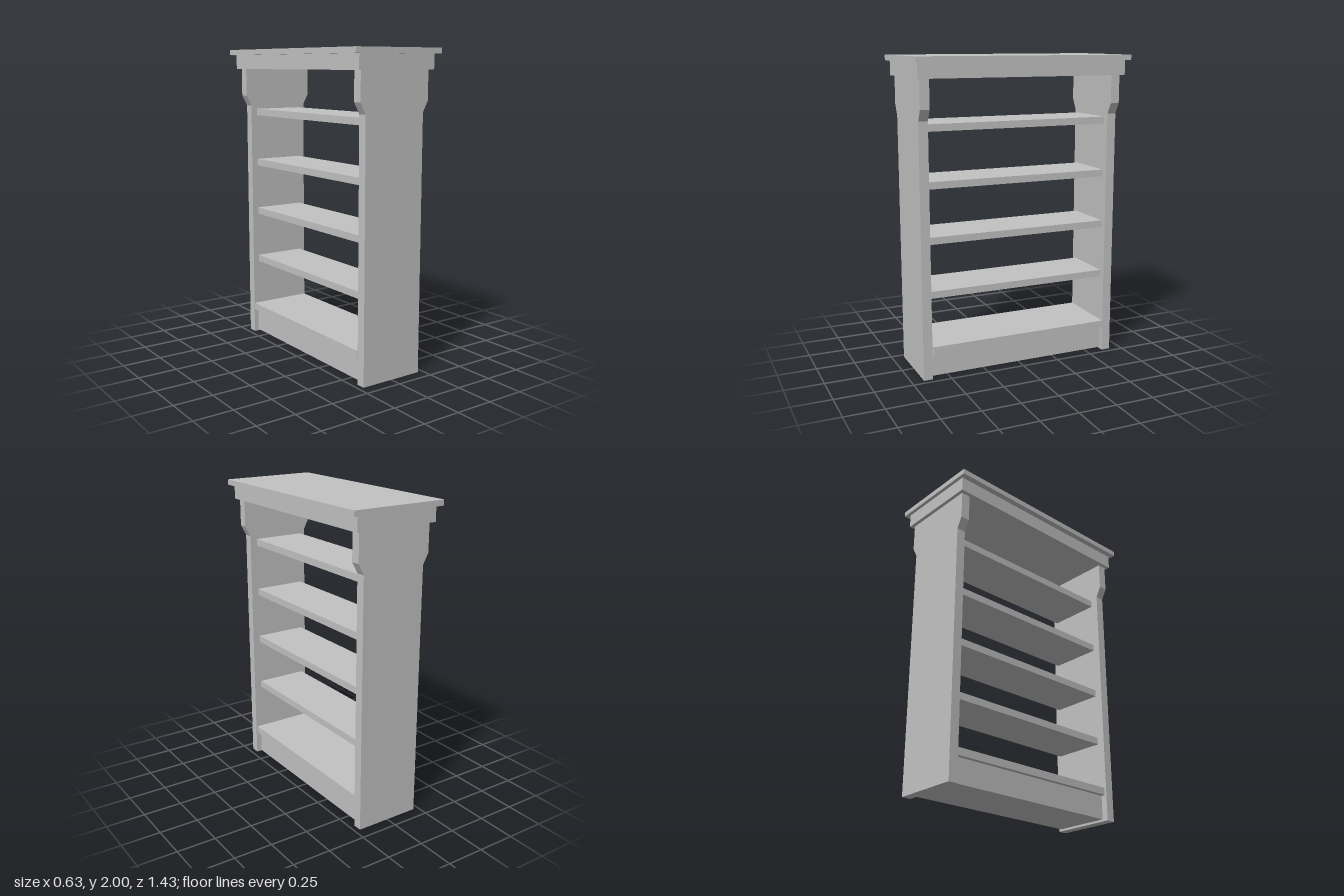
import * as THREE from 'three';

export function createModel() {
  const model = new THREE.Group();
  model.name = 'bookcase';
  const paint = new THREE.MeshStandardMaterial({ color: 0xc2c2c2 });
  paint.name = 'grey paint';

  // Box spanning y0..y1 and z0..z1, centred on x
  function board(name, halfX, y0, y1, z0, z1) {
    const mesh = new THREE.Mesh(new THREE.BoxGeometry(halfX * 2, y1 - y0, z1 - z0), paint);
    mesh.position.set(0, (y0 + y1) / 2, (z0 + z1) / 2);
    mesh.name = name;
    model.add(mesh);
  }

  // Top slab and cornice
  board('topSlab', 0.317, 1.965, 2, -0.713, 0.713);
  board('cornice', 0.279, 1.872, 1.965, -0.692, 0.692);

  // Side panels, flaring out below the cornice
  const half = [[0.215, 0], [0.215, 1.623], [0.252, 1.692], [0.252, 1.872]];
  const outline = [...half, ...half.map(([x, y]) => [-x, y]).reverse()];
  const profile = new THREE.Shape(outline.map(([x, y]) => new THREE.Vector2(x, y)));
  const thickness = 0.06;
  const panelGeometry = new THREE.ExtrudeGeometry(profile, { depth: thickness, bevelEnabled: false });
  for (const [name, z] of [['frontPanel', 0.612], ['backPanel', -0.61 - thickness]]) {
    const panel = new THREE.Mesh(panelGeometry, paint);
    panel.name = name;
    panel.position.z = z;
    model.add(panel);
  }

  // Shelves, with a small gap at the front panel
  const z0 = -0.61, z1 = 0.6;
  [1.6, 1.25, 0.905, 0.56].forEach((top, i) =>
    board('shelf' + (i + 1), 0.173, top - 0.045, top, z0, z1));

  // Deeper bottom shelf on a recessed plinth
  board('bottomShelf', 0.212, 0.163, 0.21, z0, z1);
  board('plinth', 0.184, 0.01, 0.163, z0, z1);

  return model;
}
